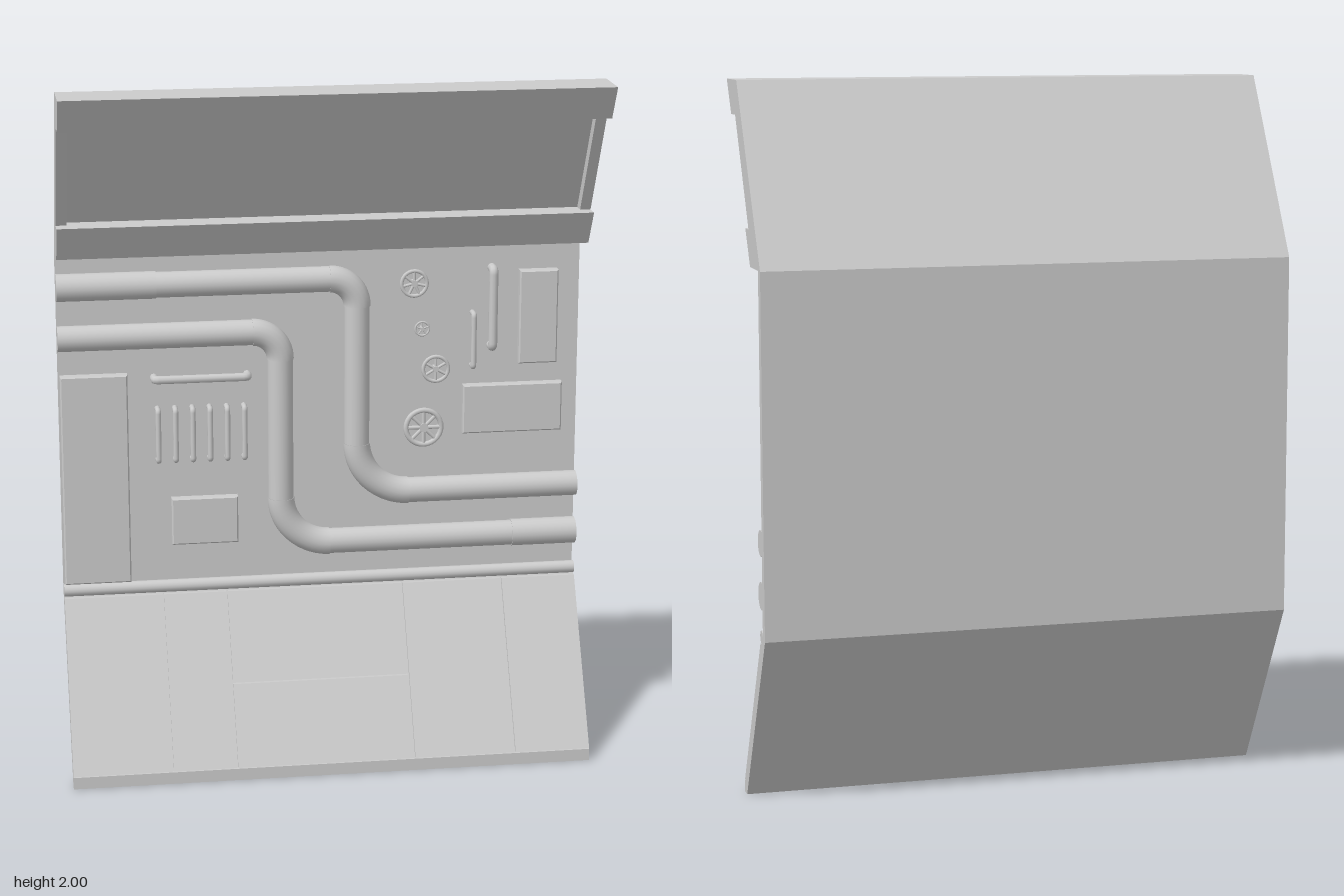
import * as THREE from 'three';

const WALL = -0.187; // front face of the upright wall
const HALF = 0.75;
const V = (x, y, z) => new THREE.Vector3(x, y, z);

export function createModel() {
  const root = new THREE.Group();
  const mat = new THREE.MeshStandardMaterial({ color: 0xcccccc });

  const add = (geo, name, parent = root) => {
    const mesh = new THREE.Mesh(geo, mat);
    mesh.name = name;
    parent.add(mesh);
    return mesh;
  };

  // Extrude a (z, y) side profile across x0..x1
  const profile = (name, pts, x0, x1) => {
    const shape = new THREE.Shape(pts.map(([z, y]) => new THREE.Vector2(z, y)));
    const geo = new THREE.ExtrudeGeometry(shape, { depth: x1 - x0, bevelEnabled: false });
    geo.rotateY(-Math.PI / 2).translate(x1, 0, 0);
    return add(geo, name);
  };

  // Folded wall shell with the overhanging top and its recessed panel
  profile('wallShell', [
    [0.07, 0], [0.1, 0], [0.1, 0.035], [0.09, 0.035], [-0.165, 0.49], [WALL, 0.51],
    [WALL, 1.505], [-0.08, 1.505], [-0.02, 1.605], [-0.1, 1.605], [0.07, 1.905],
    [0.16, 1.905], [0.217, 2], [0.08, 2], [-0.215, 1.505], [-0.215, 0.5],
  ], -HALF, HALF);

  // Thin frames closing the recess at both ends
  for (const s of [-1, 1]) {
    const c = s * 0.735;
    profile('recessEndFrame', [
      [-0.11, 1.6], [-0.067, 1.6], [0.105, 1.908], [0.06, 1.908],
    ], c - 0.015, c + 0.015);
  }

  // Sloping lower panels, separated by narrow seams
  const slopeZ = (y) => 0.1 - (y - 0.035) * 0.56;
  const lowerPanel = (x0, x1, y0, y1) => {
    const g = 0.002;
    const a = y0 + g, b = y1 - g;
    profile('lowerPanel', [
      [slopeZ(a) - 0.02, a], [slopeZ(a), a], [slopeZ(b), b], [slopeZ(b) - 0.02, b],
    ], x0 + g, x1 - g);
  };
  const seams = [-0.752, -0.465, -0.28, 0.235, 0.53, 0.752];
  for (let i = 0; i < 5; i++) {
    if (i === 2) {
      lowerPanel(seams[i], seams[i + 1], 0.035, 0.25);
      lowerPanel(seams[i], seams[i + 1], 0.25, 0.487);
    } else lowerPanel(seams[i], seams[i + 1], 0.035, 0.487);
  }

  // Round rail along the lower fold
  add(new THREE.CylinderGeometry(0.018, 0.018, 1.5, 16).rotateZ(Math.PI / 2), 'foldRail')
    .position.set(0, 0.506, -0.168);

  // Large pipes: straight runs with slightly thicker elbows and sleeves
  const pipeZ = -0.171;
  const straight = (group, ax, ay, bx, by, r, name) => {
    const d = V(bx - ax, by - ay, 0);
    const mesh = add(new THREE.CylinderGeometry(r, r, d.length(), 20), name, group);
    mesh.position.set((ax + bx) / 2, (ay + by) / 2, pipeZ);
    mesh.quaternion.setFromUnitVectors(V(0, 1, 0), d.normalize());
  };
  const elbow = (group, cx, cy, R, start) => {
    const geo = new THREE.TorusGeometry(R, 0.039, 16, 14, Math.PI / 2).rotateZ(start);
    add(geo, 'pipeElbow', group).position.set(cx, cy, pipeZ);
  };
  const pipe = (name, x, top, bottom, R1, R2, sleeve) => {
    const group = new THREE.Group();
    group.name = name;
    root.add(group);
    straight(group, -HALF, top, x - R1, top, 0.0365, 'pipeRun');
    straight(group, x, top - R1, x, bottom + R2, 0.0365, 'pipeRun');
    straight(group, x + R2, bottom, HALF, bottom, 0.0365, 'pipeRun');
    elbow(group, x - R1, top - R1, R1, 0);
    elbow(group, x + R2, bottom + R2, R2, Math.PI);
    straight(group, sleeve[0], sleeve[1], sleeve[2], sleeve[1], 0.039, 'pipeSleeve');
  };
  pipe('upperPipe', 0.103, 1.403, 0.765, 0.08, 0.15, [-HALF, 1.403, -0.47]);
  pipe('lowerPipe', -0.118, 1.255, 0.62, 0.08, 0.14, [0.56, 0.62, HALF]);

  // Raised boxes with a chamfered face
  const plate = (name, x0, x1, y0, y1, front) => {
    const b = 0.004, s = new THREE.Shape();
    s.moveTo(x0 + b, y0 + b).lineTo(x1 - b, y0 + b).lineTo(x1 - b, y1 - b).lineTo(x0 + b, y1 - b);
    const geo = new THREE.ExtrudeGeometry(s, {
      depth: front - WALL - b, bevelThickness: b, bevelSize: b, bevelSegments: 1,
    });
    add(geo, name).position.z = WALL;
  };
  plate('tallCabinet', -0.746, -0.555, 0.524, 1.145, -0.16);
  plate('smallBox', -0.435, -0.243, 0.63, 0.77, -0.163);
  plate('wideBox', 0.412, 0.703, 0.93, 1.075, -0.163);
  plate('uprightBox', 0.573, 0.685, 1.135, 1.41, -0.16);

  // Grab handles: a bar bent back to the wall at both ends
  const handle = (name, ax, ay, bx, by, r, front) => {
    const d = V(bx - ax, by - ay, 0).normalize().multiplyScalar(r);
    const a = V(ax, ay, 0).add(d), b = V(bx, by, 0).sub(d);
    const at = (p, k, z) => V(p.x + d.x * k, p.y + d.y * k, z);
    const z = front - r, path = new THREE.CurvePath();
    path.add(new THREE.LineCurve3(at(a, 0, WALL - 0.005), at(a, 0, z - r)));
    path.add(new THREE.QuadraticBezierCurve3(at(a, 0, z - r), at(a, 0, z), at(a, 1, z)));
    path.add(new THREE.LineCurve3(at(a, 1, z), at(b, -1, z)));
    path.add(new THREE.QuadraticBezierCurve3(at(b, -1, z), at(b, 0, z), at(b, 0, z - r)));
    path.add(new THREE.LineCurve3(at(b, 0, z - r), at(b, 0, WALL - 0.005)));
    add(new THREE.TubeGeometry(path, 60, r, 10), name);
  };
  handle('horizontalHandle', -0.49, 1.128, -0.2, 1.128, 0.012, -0.145);
  for (let i = 0; i < 6; i++) {
    const x = -0.47 + i * 0.0495;
    handle('slimHandle', x, 0.878, x, 1.045, 0.008, -0.15);
  }
  handle('shortHandle', 0.44, 1.123, 0.44, 1.295, 0.008, -0.15);
  handle('longHandle', 0.495, 1.175, 0.495, 1.43, 0.013, -0.143);

  // Valve wheels: rim, spokes, hub and stem
  const wheel = (x, y, R, spokes, z) => {
    const group = new THREE.Group();
    group.name = 'valveWheel';
    group.position.set(x, y, z);
    root.add(group);
    const t = R * 0.13;
    add(new THREE.TorusGeometry(R - t, t, 8, 28), 'wheelRim', group);
    add(new THREE.CylinderGeometry(R * 0.22, R * 0.22, t * 2, 14).rotateX(Math.PI / 2), 'wheelHub', group);
    const len = z - WALL + 0.004;
    add(new THREE.CylinderGeometry(R * 0.14, R * 0.14, len, 10).rotateX(Math.PI / 2), 'wheelStem', group)
      .position.z = -len / 2;
    for (let i = 0; i < spokes; i++) {
      const geo = new THREE.CylinderGeometry(t * 0.75, t * 0.75, R - t, 8).translate(0, (R - t) / 2, 0);
      add(geo, 'wheelSpoke', group).rotation.z = (i / spokes) * Math.PI * 2;
    }
  };
  wheel(0.265, 1.385, 0.042, 7, -0.155);
  wheel(0.29, 1.25, 0.023, 5, -0.16);
  wheel(0.33, 1.13, 0.042, 6, -0.158);
  wheel(0.297, 0.955, 0.059, 8, -0.163);

  return root;
}
